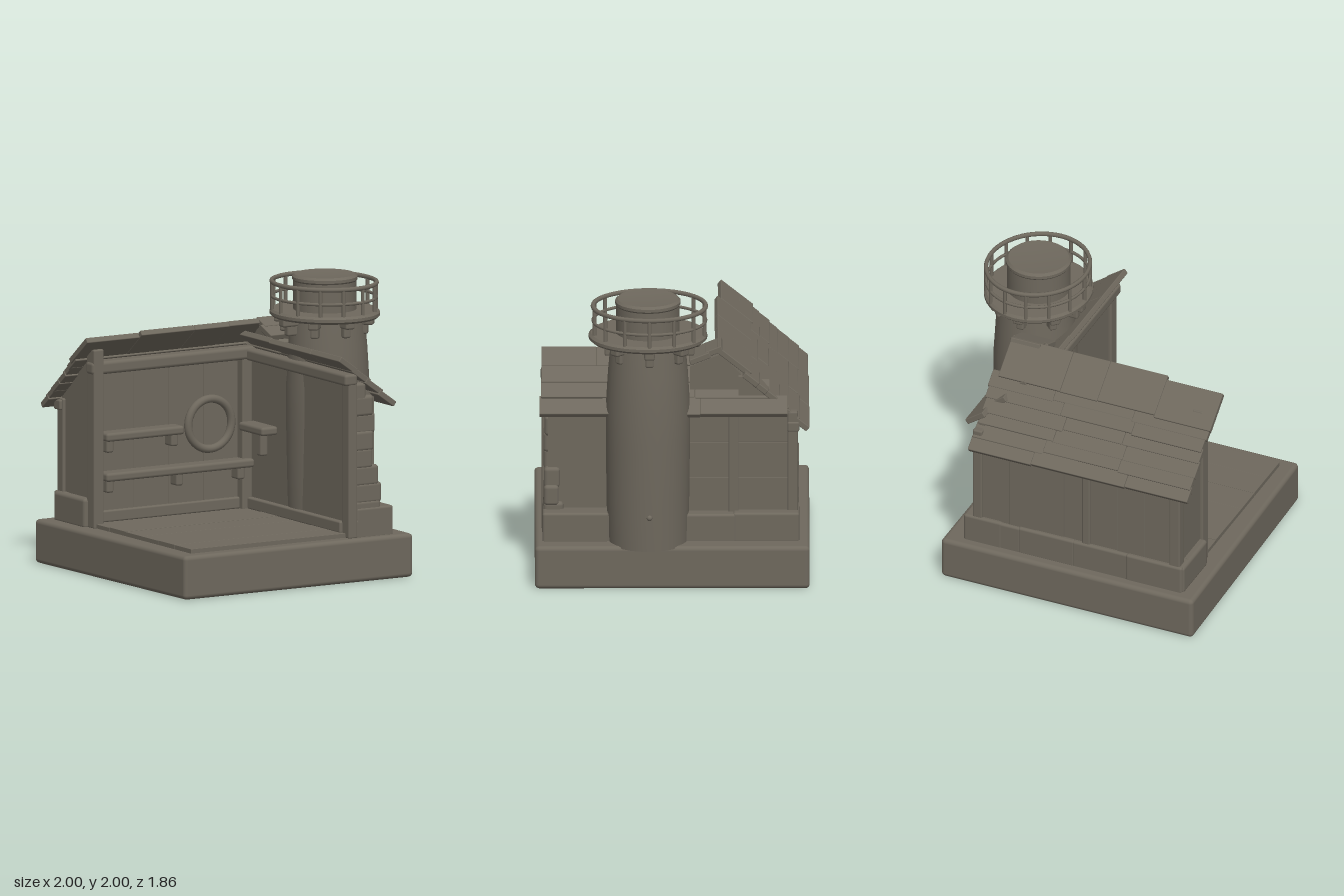
import * as THREE from 'three';
import { RoundedBoxGeometry } from 'three/addons/geometries/RoundedBoxGeometry.js';
import { toCreasedNormals } from 'three/addons/utils/BufferGeometryUtils.js';

const clay = new THREE.MeshStandardMaterial({ color: 0x6e685d });
clay.name = 'weathered grey brown';

let seed = 7;
const rnd = () => (seed = (seed * 16807) % 2147483647) / 2147483647;
const jit = (a) => (rnd() - 0.5) * 2 * a;

export function createModel() {
  const model = new THREE.Group();

  const add = (name, geo, x = 0, y = 0, z = 0, parent = model) => {
    const m = new THREE.Mesh(geo, clay);
    m.name = name;
    m.position.set(x, y, z);
    parent.add(m);
    return m;
  };
  // Softened box given by its minimum and maximum corners
  const block = (name, x0, x1, y0, y1, z0, z1, r = 0.012, parent = model) => {
    const w = x1 - x0, h = y1 - y0, d = z1 - z0;
    const rr = Math.min(r, w / 3, h / 3, d / 3);
    return add(name, new RoundedBoxGeometry(w, h, d, 2, rr), (x0 + x1) / 2, (y0 + y1) / 2, (z0 + z1) / 2, parent);
  };
  // Solid of constant section from a list of corners
  const prism = (corners, depth) => new THREE.ExtrudeGeometry(
    new THREE.Shape(corners.map(([a, b]) => new THREE.Vector2(a, b))), { depth, bevelEnabled: false });

  // Base slab, a little narrower at the front left
  const slab = new RoundedBoxGeometry(1.87, 0.3, 1.86, 3, 0.03);
  const p = slab.attributes.position;
  for (let i = 0; i < p.count; i++) {
    if (p.getX(i) < 0) p.setX(i, p.getX(i) + 0.045 * THREE.MathUtils.smoothstep(p.getZ(i), -0.4, 0.3));
  }
  add('base', slab, -0.065, 0.155, 0);

  // Plank floor, tightly laid
  for (let i = 0; i < 6; i++) {
    const z = -0.42 + i * 0.21;
    block('floorPlank', -0.85, 0.4, 0.28, 0.335 + jit(0.002), z, z + 0.21, 0.002);
  }

  // Back wing: walls with a sloping top, seen from the end as one profile
  const wing = prism([[0.45, 0.3], [0.82, 0.3], [0.82, 1.14], [0.5, 1.44], [0.45, 1.44]], 1.49);
  wing.rotateY(Math.PI / 2); // profile x becomes -z, depth becomes +x
  add('backWing', wing, -0.85, 0, 0);

  // Side wall, its top following the side roof
  add('sideWall', prism([[0.4, 0.3], [0.61, 0.3], [0.61, 1.25], [0.41, 1.42], [0.4, 1.42]], 1.34), 0, 0, -0.5);

  // Stone footings
  const footing = (name, x0, x1, z0, z1, alongX) => {
    const n = Math.round((alongX ? x1 - x0 : z1 - z0) / 0.42);
    for (let i = 0; i < n; i++) {
      const t0 = i / n, t1 = (i + 1) / n, o = jit(0.006), top = 0.5 + jit(0.006);
      if (alongX) block(name, x0 + (x1 - x0) * t0 - 0.01, x0 + (x1 - x0) * t1 + 0.01, 0.29, top, z0 + o, z1, 0.018);
      else block(name, x0, x1 + o, 0.29, top, z0 + (z1 - z0) * t0 - 0.01, z0 + (z1 - z0) * t1 + 0.01, 0.018);
    }
  };
  footing('backFooting', -0.88, 0.72, -0.86, -0.72, true);
  footing('sideFooting', 0.45, 0.735, -0.85, 0.87, false);
  block('leftFooting', -0.9, -0.8, 0.29, 0.5, -0.85, -0.45, 0.025);

  // Rough stones at the front end of the side wall
  for (let i = 0; i < 8; i++) {
    const y = 0.3 + i * 0.12;
    block('cornerStone', 0.4, 0.6 + jit(0.02) + (i < 4 && i > 0 ? 0.04 : 0), y - 0.012, y + 0.132, 0.72 + jit(0.06), 0.872 + jit(0.008), 0.025);
  }
  block('gableStone', 0.4, 0.53, 1.22, 1.36, 0.75, 0.87, 0.02);

  // Timber frame
  const posts = [[-0.87, -0.79, 1.53, -0.47, -0.37], [0.32, 0.4, 1.4, -0.47, -0.38], [0.38, 0.45, 1.42, 0.79, 0.885],
    [-0.87, -0.79, 1.14, -0.85, -0.77], [0.6, 0.67, 1.2, -0.85, -0.78], [0.6, 0.675, 1.25, -0.45, -0.38],
    [-0.2, -0.14, 1.13, -0.845, -0.8]];
  for (const [x0, x1, top, z0, z1] of posts) block('post', x0, x1, 0.3, top, z0, z1);
  block('frontBeam', -0.88, 0.45, 1.355, 1.445, -0.47, -0.37, 0.025);
  block('sideBeam', 0.35, 0.45, 1.35, 1.43, -0.45, 0.89, 0.02);
  block('backBeam', -0.89, 0.68, 1.06, 1.13, -0.86, -0.78);
  block('skirting', -0.79, 0.33, 0.33, 0.41, -0.46, -0.42);
  block('sideSkirting', 0.36, 0.41, 0.33, 0.41, -0.4, 0.8);

  // Wall boards inside, at the back and at the right end
  for (let i = 0; i < 4; i++) {
    const x = -0.79 + i * 0.28;
    block('innerBoard', x, x + 0.28, 0.34, 1.38, -0.46, -0.445 + jit(0.003), 0.002);
  }
  for (let i = 0; i < 7; i++) {
    const x = -0.8 + i * 0.2;
    block('backBoard', x, x + 0.2, 0.48, 1.08, -0.832 + jit(0.006), -0.8, 0.003);
  }
  for (let i = 0; i < 3; i++) {
    const y = 0.48 + i * 0.25;
    block('endBoard', 0.6, 0.65 + jit(0.005), y, y + 0.25, -0.79, -0.1, 0.003);
  }

  // Shelves with brackets
  const shelf = (x0, x1, y, brackets) => {
    block('shelf', x0, x1, y - 0.03, y + 0.03, -0.46, -0.33, 0.02);
    for (const x of brackets) block('shelfBracket', x - 0.028, x + 0.028, y - 0.11, y - 0.02, -0.46, -0.36, 0.015);
  };
  shelf(-0.79, -0.17, 0.925, [-0.745, -0.23]);
  shelf(-0.79, 0.39, 0.65, [-0.745, -0.19, 0.3]);
  block('sideShelf', 0.27, 0.4, 0.88, 0.94, -0.36, -0.05, 0.02);
  block('sideShelfBracket', 0.34, 0.4, 0.72, 0.88, -0.24, -0.18, 0.015);

  // Ring hung on the wall
  add('wallRing', new THREE.TorusGeometry(0.172, 0.028, 12, 40), 0.08, 0.935, -0.415);

  // Shingled roof: local x runs along the ridge, local z down the slope
  const roof = (name, x, y, z, turn, slope, rows) => {
    const g = new THREE.Group();
    g.name = name;
    g.position.set(x, y, z);
    g.rotation.set(slope, turn, 0, 'YXZ');
    for (const [s0, s1, a, b, n] of rows) {
      let u = a;
      for (let i = 0; i < n; i++) {
        const next = i === n - 1 ? b : a + ((b - a) * (i + 1)) / n + jit(0.08);
        const end = s1 + 0.025 + jit(0.008);
        const m = block('shingle', u, next, -0.035, 0.005, s0, end, 0.006, g);
        m.rotation.x = -0.07;
        m.position.y += jit(0.003);
        u = next;
      }
    }
    model.add(g);
  };
  const mainRows = [[0, 0.27, -0.62, 0.54, 3], [-0.03 + 0.06, 0.28, 0.54, 0.96, 1]];
  for (let i = 0; i < 6; i++) {
    const s = 0.25 + i * 0.092;
    mainRows.push([s, s + 0.092, -0.67 + jit(0.015), 0.95 + jit(0.015), 3]);
  }
  roof('mainRoof', 0, 1.65, -0.315, Math.PI, 0.745, mainRows);

  // Short front slope where the ridge runs in behind the tower
  roof('frontSlope', 0, 1.65, -0.33, 0, 0.45, [[0, 0.1, 0.4, 0.62, 1], [0.09, 0.22, 0.38, 0.64, 1]]);
  const gable = prism([[0.12, 1.3], [0.6, 1.3], [0.33, 1.59], [0.12, 1.5]], 0.18);
  gable.rotateY(Math.PI / 2);
  add('gable', gable, 0.42, 0, 0);

  // Side roof: each lower row reaches further back until it meets the main roof
  const sideRows = [];
  for (let i = 0; i < 4; i++) {
    const s = i * 0.132;
    sideRows.push([s, s + 0.132, -0.89 + jit(0.01), 0.42 + i * 0.12, 3]);
  }
  roof('sideRoof', 0.325, 1.56, 0, Math.PI / 2, 0.695, sideRows);

  // Round tower
  const tower = new THREE.Group();
  tower.name = 'tower';
  tower.position.set(0.637, 0, 0.155);
  model.add(tower);
  const lathe = (name, pts, n, x, parent) => add(name, toCreasedNormals(
    new THREE.LatheGeometry(pts.map(([r, y]) => new THREE.Vector2(r, y)), n), 0.6), x, 0, 0.01, parent);
  lathe('towerShaft', [[0, 0.29], [0.274, 0.29], [0.28, 0.6], [0.285, 1.0], [0.285, 1.25], [0.27, 1.5], [0.25, 1.72], [0, 1.72]], 28, 0.022, tower);

  // Gallery, slightly deeper than wide
  const gallery = new THREE.Group();
  gallery.name = 'gallery';
  gallery.scale.set(0.905, 1, 1);
  tower.add(gallery);
  lathe('galleryDeck', [[0, 1.71], [0.385, 1.71], [0.402, 1.725], [0.402, 1.745], [0.385, 1.76], [0, 1.76]], 48, 0, gallery);
  for (const [y, t] of [[1.945, 0.016], [1.845, 0.011]]) {
    const ring = new THREE.TorusGeometry(0.382, t, 8, 56);
    ring.rotateX(Math.PI / 2);
    add('rail', ring, 0, y, 0, gallery);
  }
  for (let i = 0; i < 14; i++) {
    const a = ((i + 0.5) / 14) * Math.PI * 2;
    add('railPost', new THREE.CylinderGeometry(0.014, 0.014, 0.2, 8), 0.382 * Math.sin(a), 1.85, 0.382 * Math.cos(a), gallery);
  }
  // Brackets beneath the gallery
  for (let i = 0; i < 8; i++) {
    const arm = new THREE.Group();
    arm.name = 'galleryBracket';
    arm.rotation.y = (i / 8) * Math.PI * 2;
    block('bracketTop', -0.036, 0.036, 1.66, 1.72, 0.2, 0.345, 0.015, arm);
    block('bracketFoot', -0.028, 0.028, 1.595, 1.68, 0.2, 0.305, 0.015, arm);
    tower.add(arm);
  }
  // Lantern drum with a barely dished cap
  lathe('lantern', [[0.215, 1.74], [0.215, 1.955], [0.222, 1.965], [0.222, 1.985], [0.205, 2.0], [0.185, 1.998], [0, 1.99]], 48, 0, tower);

  // Small peg on the tower
  add('peg', new THREE.SphereGeometry(0.02, 12, 8), 0.297, 0.53, 0, tower);

  return model;
}
